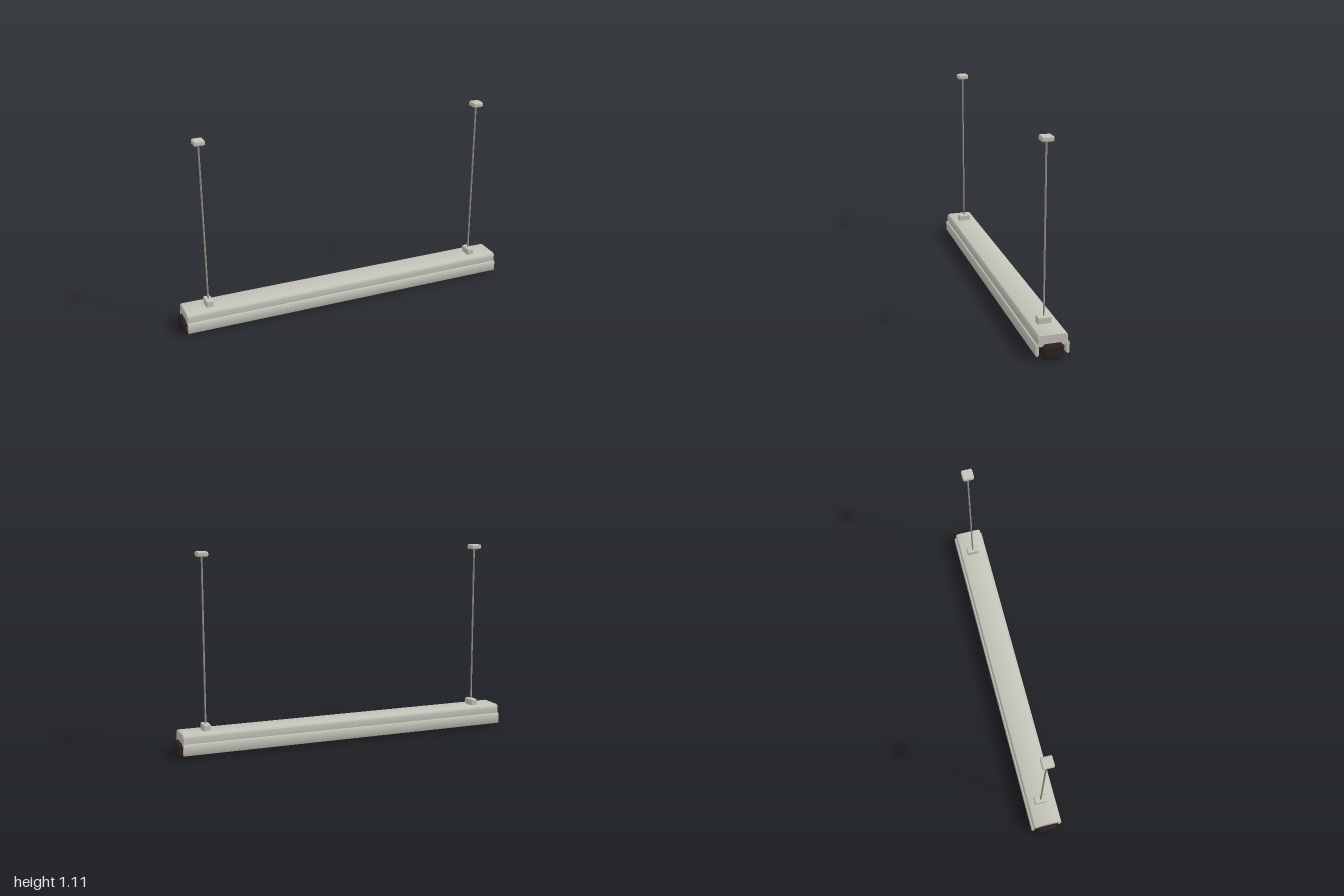
import * as THREE from 'three';
import { RoundedBoxGeometry } from 'three/addons/geometries/RoundedBoxGeometry.js';
import { toCreasedNormals } from 'three/addons/utils/BufferGeometryUtils.js';

const mat = (name, color) => {
  const m = new THREE.MeshStandardMaterial({ color });
  m.name = name;
  return m;
};

// Rounded (or chamfered, when segments is 1) rectangle centred on the origin
function roundedRect(w, h, r, segments) {
  const points = [];
  const corners = [[1, 1], [-1, 1], [-1, -1], [1, -1]];
  corners.forEach(([sx, sy], i) => {
    for (let k = 0; k <= segments; k++) {
      const a = (i + k / segments) * Math.PI / 2;
      points.push(new THREE.Vector2(
        sx * (w / 2 - r) + Math.cos(a) * r,
        sy * (h / 2 - r) + Math.sin(a) * r));
    }
  });
  return new THREE.Shape(points);
}

// Bar along x with a rounded z-y section and small bevels at both ends
function bar(length, depth, height, r, bevel, segments) {
  const geo = new THREE.ExtrudeGeometry(roundedRect(depth, height, r, segments), {
    depth: length - 2 * bevel, bevelEnabled: bevel > 0, bevelSegments: 1,
    bevelThickness: bevel, bevelSize: bevel, bevelOffset: -bevel,
  });
  geo.translate(0, 0, bevel - length / 2).rotateY(Math.PI / 2);
  return toCreasedNormals(geo, 0.6);
}

export function createModel() {
  const group = new THREE.Group();
  group.name = 'hangingTubeLight';
  const metal = mat('paleGreyMetal', 0xc5c4ba);
  const steel = mat('rodSteel', 0x98958a);
  const dark = mat('darkPlastic', 0x2b2020);
  const glass = mat('creamTube', 0xd6cba4);

  const add = (name, geo, material, x, y, z) => {
    const mesh = new THREE.Mesh(geo, material);
    mesh.name = name;
    mesh.position.set(x, y, z);
    group.add(mesh);
    return mesh;
  };

  // Long housing and the glowing tube below it
  add('housing', bar(1.95, 0.16, 0.067, 0.018, 0.004, 4), metal, 0, 0.0985, 0);
  const tubeGeo = new THREE.CylinderGeometry(0.029, 0.029, 1.9, 24).rotateZ(Math.PI / 2);
  add('tube', tubeGeo, glass, 0, 0.038, 0);

  // Side rails along both long edges
  for (const s of [1, -1]) {
    add('sideRail', bar(1.95, 0.019, 0.064, 0.009, 0.002, 4), metal, 0, 0.049, s * 0.0805);
  }

  for (const s of [1, -1]) {
    // Dark lamp holder at each end
    add('endCap', bar(0.08, 0.11, 0.082, 0.014, 0.01, 1), dark, s * 0.96, 0.041, 0);

    // Hanger: foot, rod and ceiling plate
    const x = s * 0.83;
    add('hangerFoot', new RoundedBoxGeometry(0.042, 0.044, 0.076, 2, 0.007), metal, x, 0.146, 0);
    add('hangerRod', new THREE.CylinderGeometry(0.005, 0.005, 0.93, 12), steel, x, 0.625, 0);
    add('ceilingPlate', new RoundedBoxGeometry(0.062, 0.029, 0.064, 2, 0.009), metal, x, 1.0915, 0);
  }
  return group;
}
